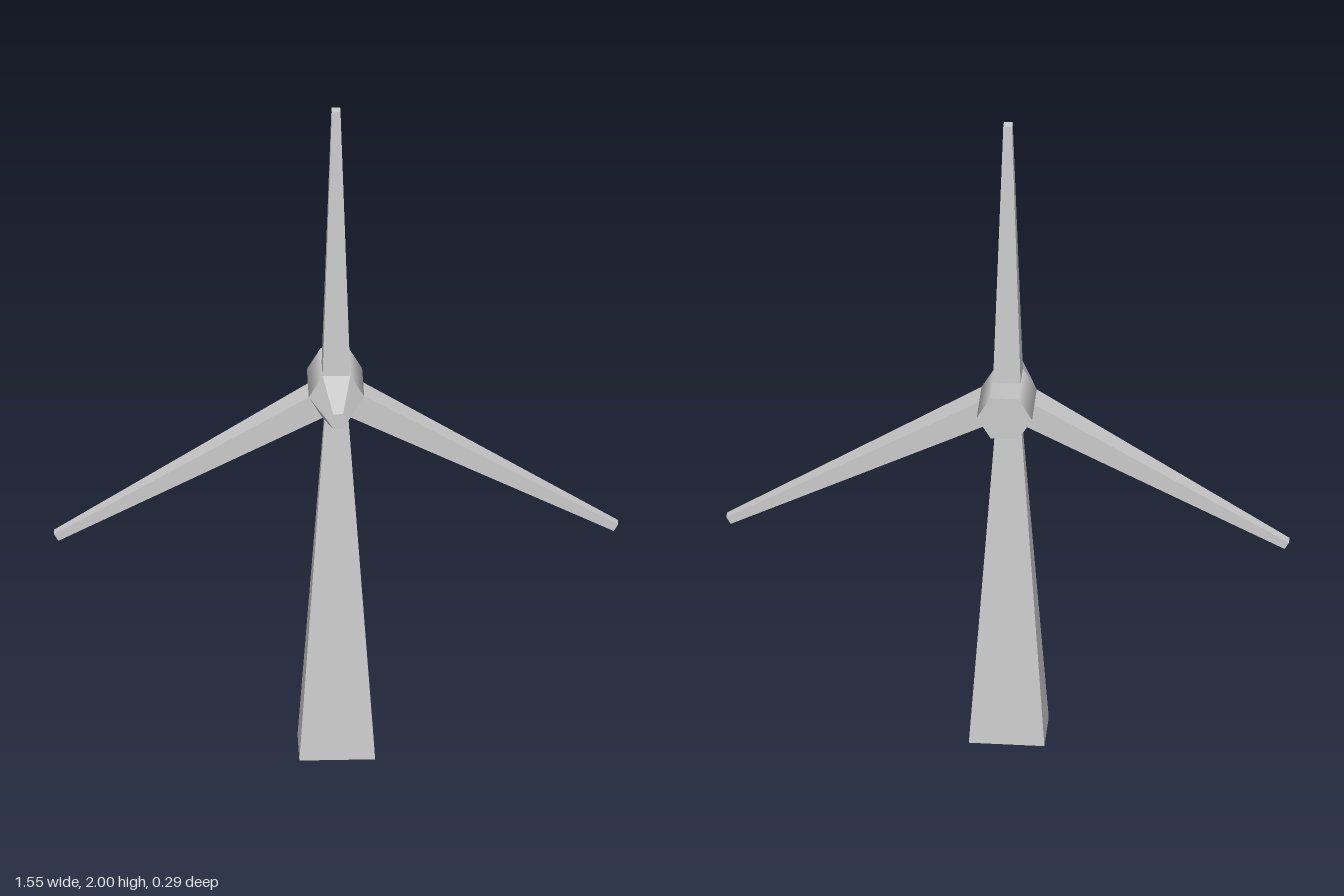
import * as THREE from 'three';

const HUB_Y = 1.113, HUB_R = 0.076, APOTHEM = HUB_R * Math.cos(Math.PI / 6);

const flat = () => new THREE.MeshStandardMaterial({ color: 0xcccccc, flatShading: true });
const smooth = () => new THREE.MeshStandardMaterial({ color: 0xcccccc });

// Four-sided taper from y0 to y1; each end is { x: half width, z0: back, z1: front }
function taper(name, y0, y1, low, high) {
  const geo = new THREE.BoxGeometry(2, 2, 2);
  const p = geo.attributes.position;
  for (let i = 0; i < p.count; i++) {
    const top = p.getY(i) > 0, end = top ? high : low;
    p.setXYZ(i, p.getX(i) * end.x, top ? y1 : y0, p.getZ(i) > 0 ? end.z1 : end.z0);
  }
  geo.computeVertexNormals();
  const mesh = new THREE.Mesh(geo, flat());
  mesh.name = name;
  return mesh;
}

// Six-sided section lying along z, with flats at top and bottom
function hexSection(name, zBack, zFront, rBack, rFront, material) {
  const geo = new THREE.CylinderGeometry(rFront, rBack, zFront - zBack, 6);
  geo.rotateY(Math.PI / 6).rotateX(Math.PI / 2);
  const mesh = new THREE.Mesh(geo, material);
  mesh.position.set(0, HUB_Y, (zFront + zBack) / 2);
  mesh.name = name;
  return mesh;
}

export function createModel() {
  const model = new THREE.Group();
  model.name = 'windTurbine';

  // Tapered tower, running up into the hub
  model.add(taper('tower', 0, 1.07,
    { x: 0.104, z0: -0.074, z1: 0.071 }, { x: 0.031, z0: -0.015, z1: 0.011 }));

  // Housing and pointed nose
  model.add(hexSection('nacelle', -0.146, 0.009, HUB_R, HUB_R, smooth()));
  model.add(hexSection('noseCone', 0.009, 0.146, HUB_R, 0.027, flat()));

  // Three blades growing from alternate flats of the hub
  const rotor = new THREE.Group();
  rotor.name = 'rotor';
  rotor.position.y = HUB_Y;
  for (let i = 0; i < 3; i++) {
    const blade = taper('blade' + (i + 1), APOTHEM, 2 - HUB_Y,
      { x: HUB_R / 2, z0: -0.068, z1: 0.009 }, { x: 0.012, z0: -0.04, z1: -0.015 });
    blade.rotation.z = i * Math.PI * 2 / 3;
    rotor.add(blade);
  }
  model.add(rotor);
  return model;
}
